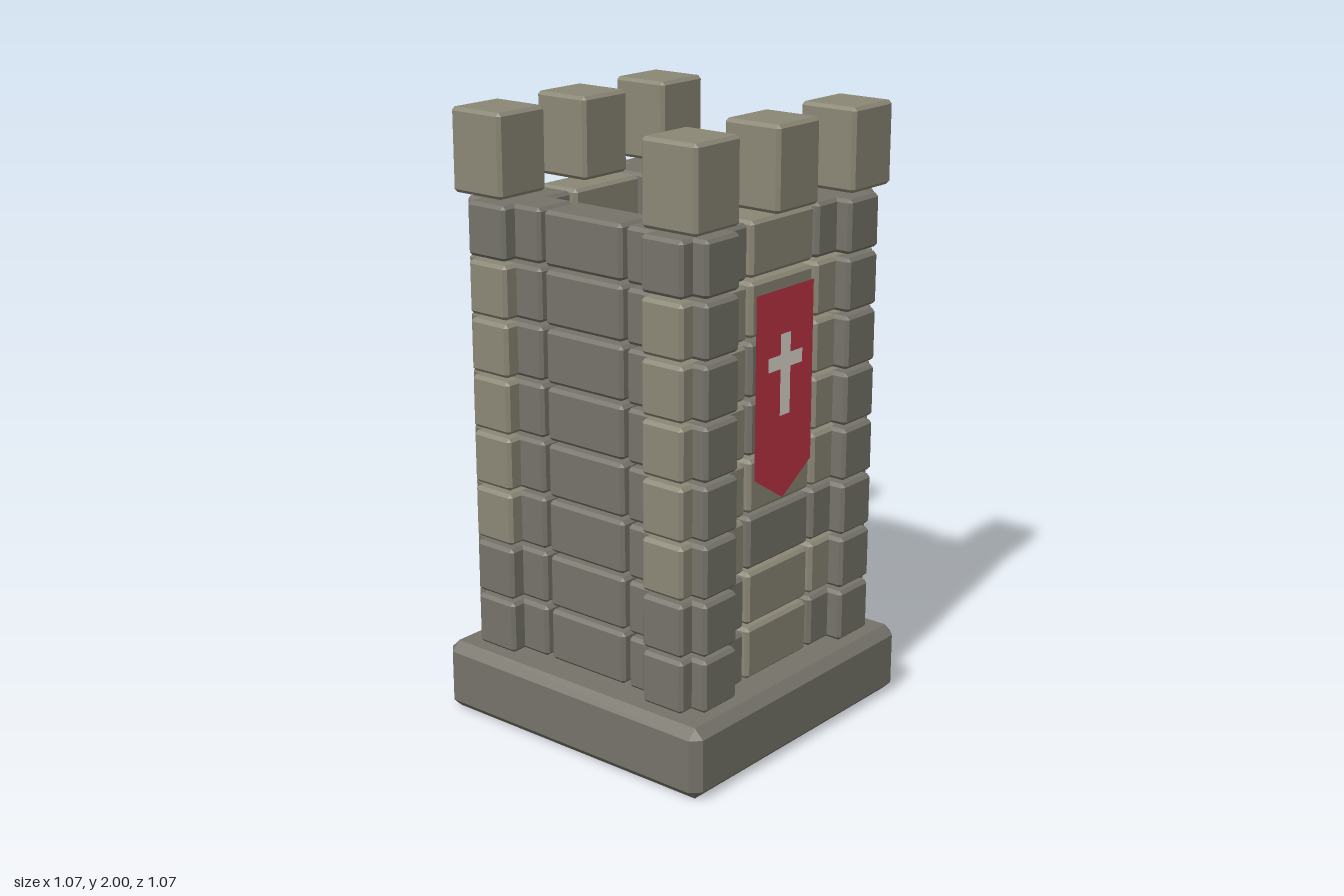
import * as THREE from 'three';
import { ConvexGeometry } from 'three/addons/geometries/ConvexGeometry.js';

const lightStone = new THREE.MeshStandardMaterial({ color: 0x8b8776 });
const darkStone = new THREE.MeshStandardMaterial({ color: 0x757369 });
const red = new THREE.MeshStandardMaterial({ color: 0xbf3444, side: THREE.DoubleSide });
const cream = new THREE.MeshStandardMaterial({ color: 0xdedbd0, side: THREE.DoubleSide });

// Box with every edge cut at 45 degrees
function chamferedBox(w, h, d, c) {
  const points = [];
  for (const x of [-1, 1]) for (const y of [-1, 1]) for (const z of [-1, 1]) {
    for (let axis = 0; axis < 3; axis++) {
      const inset = [c, c, c];
      inset[axis] = 0;
      points.push(new THREE.Vector3(
        x * (w / 2 - inset[0]), y * (h / 2 - inset[1]), z * (d / 2 - inset[2])));
    }
  }
  return new ConvexGeometry(points);
}

function flatShape(points) {
  return new THREE.ShapeGeometry(new THREE.Shape(points.map(([x, y]) => new THREE.Vector2(x, y))));
}

export function createModel() {
  const tower = new THREE.Group();
  tower.name = 'castleTower';

  const add = (parent, name, geometry, material, x, y, z) => {
    const mesh = new THREE.Mesh(geometry, material);
    mesh.name = name;
    mesh.position.set(x, y, z);
    parent.add(mesh);
  };

  // Plinth
  add(tower, 'base', chamferedBox(1.066, 0.235, 1.066, 0.031), darkStone, 0, 0.1175, 0);

  // Shared stones: lengthwise and crosswise
  const cornerX = chamferedBox(0.308, 0.172, 0.158, 0.011);
  const cornerZ = chamferedBox(0.158, 0.172, 0.308, 0.011);
  const wallX = chamferedBox(0.31, 0.172, 0.158, 0.011);
  const wallZ = chamferedBox(0.158, 0.172, 0.31, 0.011);

  // Which courses are light, bottom to top: left corner, middle, right corner
  const lightCourses = { '-1': '00111110', 0: '11010011', 1: '01011110' };

  // Eight courses of crossing corner stones and single wall stones
  for (let row = 0; row < 8; row++) {
    const course = new THREE.Group();
    course.name = `course${row + 1}`;
    course.position.y = 0.331 + row * 0.1857;
    tower.add(course);
    const tone = (column) => (lightCourses[column][row] === '1' ? lightStone : darkStone);
    for (const side of [-1, 1]) {
      add(course, 'endWallStone', wallX, tone(0), 0, 0, side * 0.35);
      add(course, 'sideWallStone', wallZ, darkStone, side * 0.35, 0, 0);
      for (const end of [-1, 1]) {
        add(course, 'cornerStoneAcross', cornerX, tone(side), side * 0.326, 0, end * 0.35);
        add(course, 'cornerStoneAlong', cornerZ, darkStone, side * 0.35, 0, end * 0.326);
      }
    }
  }

  // Battlements on the front and back walls
  const merlon = chamferedBox(0.206, 0.264, 0.206, 0.011);
  for (const x of [-0.38, 0, 0.38]) for (const z of [-0.38, 0.38]) {
    add(tower, 'merlon', merlon, lightStone, x, 1.868, z);
  }

  // Hanging banner with a plain cross
  const banner = new THREE.Group();
  banner.name = 'banner';
  banner.position.z = 0.439;
  tower.add(banner);
  add(banner, 'bannerCloth', flatShape([
    [-0.143, 1.49], [-0.143, 0.91], [0, 0.818], [0.143, 0.91], [0.143, 1.49],
  ]), red, 0, 0, 0);
  add(banner, 'bannerCross', flatShape([
    [-0.025, 1.09], [0.025, 1.09], [0.025, 1.24], [0.085, 1.24], [0.085, 1.285], [0.025, 1.285],
    [0.025, 1.35], [-0.025, 1.35], [-0.025, 1.285], [-0.085, 1.285], [-0.085, 1.24], [-0.025, 1.24],
  ]), cream, 0, 0, 0.004);

  return tower;
}
